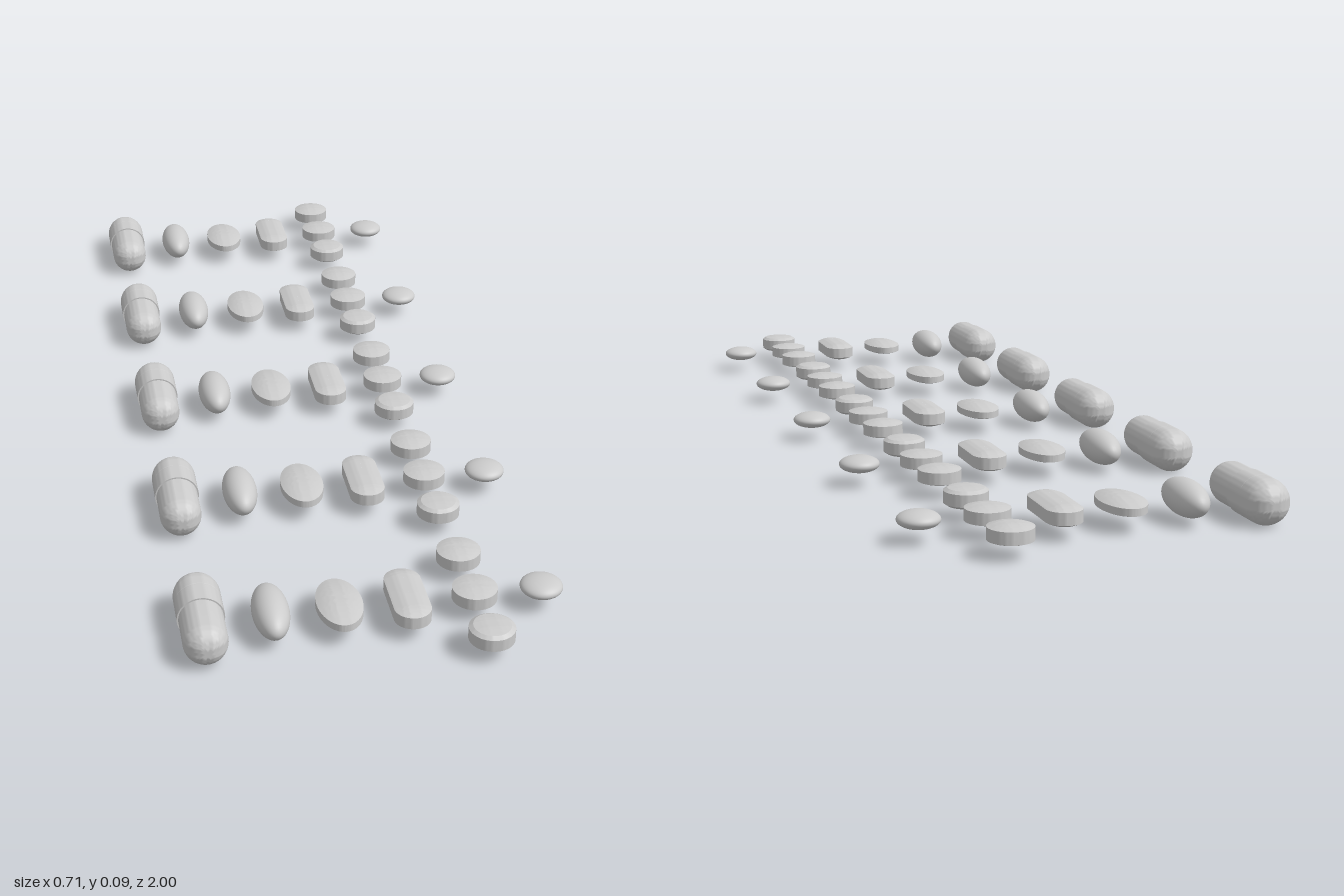
import * as THREE from 'three';
import { toCreasedNormals } from 'three/addons/utils/BufferGeometryUtils.js';

const SEG = 48;
const U = 1 / 24;        // layout unit
const Y = 0.0437;        // common centre height
const mat = new THREE.MeshStandardMaterial({ color: 0xcccccc });

// Lathe with half a segment of turn, so no vertex lies exactly on z = 0
function turn(points) {
  return new THREE.LatheGeometry(points.map(([r, y]) => new THREE.Vector2(r, y)), SEG, Math.PI / SEG);
}

// Domed tablet: side band, optional bevel [radius, height], then a shallow dome.
// stretch scales it along z (oval); core splits it along z (stadium).
function tablet({ r, band, top, bevel, stretch = 1, core = 0 }) {
  const half = [[r, band]];
  const [dr, dy] = bevel || half[0];
  if (bevel) half.push(bevel);
  for (let i = 1; i <= 8; i++) {
    const s = Math.max(1 - i / 8, 0.001);
    half.push([dr * s, dy + (top - dy) * (1 - s * s)]);
  }
  const g = turn([...half.map(([a, y]) => [a, -y]).reverse(), ...half]);
  const p = g.attributes.position;
  for (let i = 0; i < p.count; i++) {
    const z = p.getZ(i);
    p.setZ(i, z * stretch + Math.sign(z) * core);
  }
  return toCreasedNormals(g, 0.3);
}

// Two-piece capsule lying along z, its wider cap at the back
function capsule() {
  const end = 0.111, rb = 0.0407, rc = 0.0435, joint = -0.002;
  const pts = [], n = 12;
  for (let i = 0; i <= n; i++) {
    const a = (i / n) * Math.PI / 2;
    pts.push([rb * Math.sin(a), -end + rb - rb * Math.cos(a)]);
  }
  pts.push([rb, joint], [rc, joint]);
  // shallow locking groove
  pts.push([rc, 0.043], [rc - 0.0006, 0.045], [rc, 0.047]);
  for (let i = 0; i <= n; i++) {
    const a = (i / n) * Math.PI / 2;
    pts.push([rc * Math.cos(a), end - rc + rc * Math.sin(a)]);
  }
  return toCreasedNormals(turn(pts).rotateX(-Math.PI / 2), 0.5);
}

function ellipsoid(rx, ry, rz) {
  return new THREE.SphereGeometry(1, SEG, 24).scale(rx, ry, rz);
}

export function createModel() {
  const model = new THREE.Group();
  model.name = 'pillAssortment';

  // name, geometry, x and z in layout units
  const pills = [
    ['capsule', capsule(), -7.5, 0],
    ['softgel', ellipsoid(0.034, 0.034, 0.076), -4.5, 0],
    ['ovalTablet', tablet({ r: 0.0422, band: 0.007, top: 0.0175, stretch: 1.74 }), -1.5, 0],
    ['caplet', tablet({ r: 0.0342, band: 0.0117, top: 0.0205, core: 0.045 }), 1.5, 0],
    ['domedTablet', tablet({ r: U, band: 0.0115, top: 0.0195 }), 4.5, -3],
    ['roundTablet', tablet({ r: U, band: 0.0115, top: 0.0185 }), 4.5, 0],
    ['bevelledTablet', tablet({ r: U, band: 0.0115, top: 0.02, bevel: [0.034, 0.0165] }), 4.5, 3],
    ['lentilPill', ellipsoid(0.0395, 0.0165, 0.0395), 7.5, 0],
  ];

  // Five identical rows
  for (let row = -2; row <= 2; row++) {
    const group = new THREE.Group();
    group.name = `pillRow${row + 3}`;
    group.position.set(0, Y, row * 10 * U);
    for (const [name, geometry, x, z] of pills) {
      const mesh = new THREE.Mesh(geometry, mat);
      mesh.name = name;
      mesh.position.set(x * U, 0, z * U);
      group.add(mesh);
    }
    model.add(group);
  }
  return model;
}
